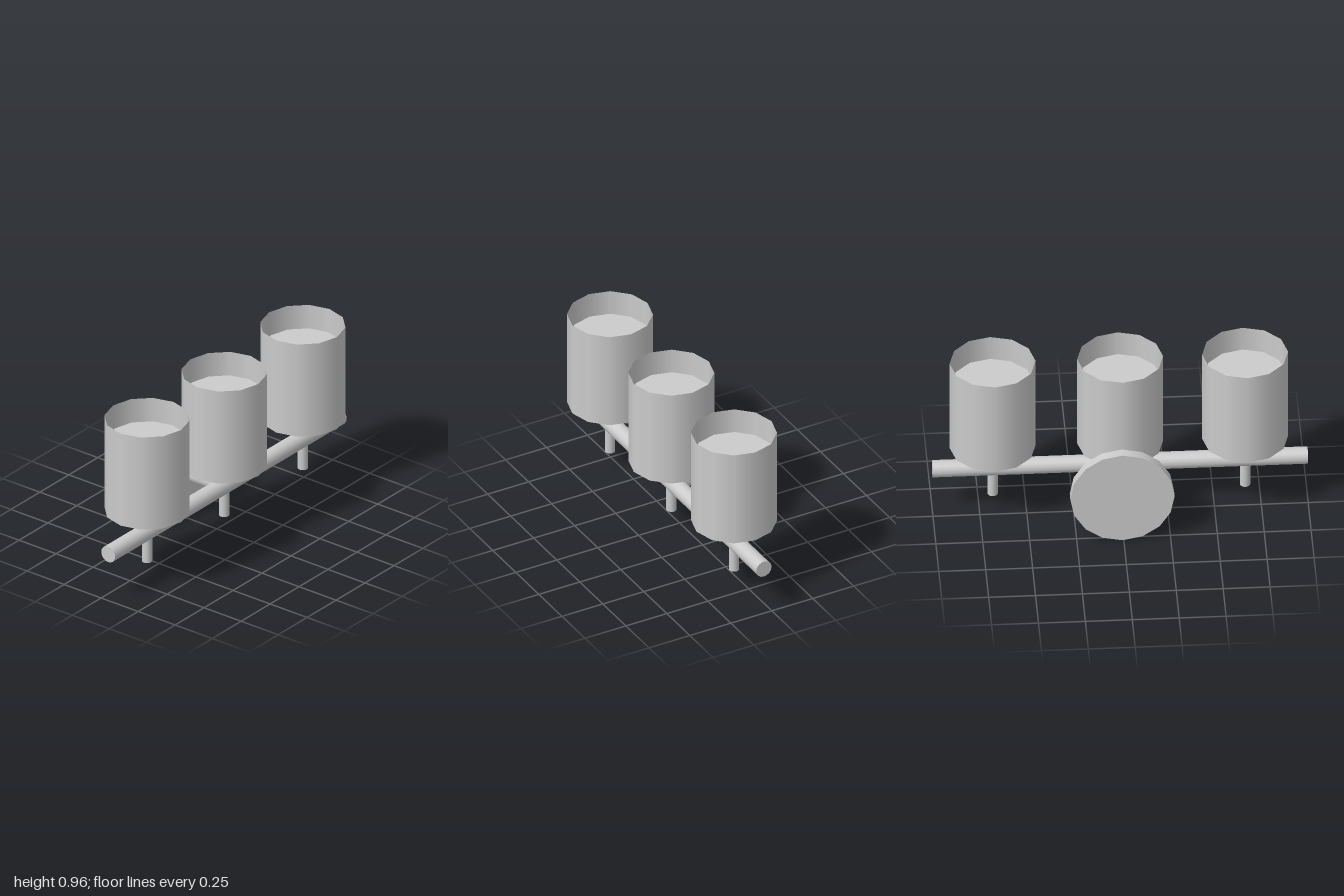
import * as THREE from 'three';

const grey = new THREE.MeshStandardMaterial({ color: 0xcccccc });
const greyThin = new THREE.MeshStandardMaterial({ color: 0xcccccc, side: THREE.DoubleSide });

const BAR_Y = 0.278, BAR_Z = 0.048;

// Upright cylinder between two heights
function upright(name, radius, y0, y1, sides, open = false) {
  const geo = new THREE.CylinderGeometry(radius, radius, y1 - y0, sides, 1, open);
  const mesh = new THREE.Mesh(geo, open ? greyThin : grey);
  mesh.name = name;
  mesh.position.y = (y0 + y1) / 2;
  return mesh;
}

// Cylinder along z between two depths
function alongZ(name, radius, z0, z1, sides) {
  const geo = new THREE.CylinderGeometry(radius, radius, z1 - z0, sides).rotateX(-Math.PI / 2);
  const mesh = new THREE.Mesh(geo, grey);
  mesh.name = name;
  mesh.position.set(0.007, BAR_Y, (z0 + z1) / 2);
  return mesh;
}

// Stem, open shade with a floor, and the diffuser recessed inside it
function createLamp(x) {
  const lamp = new THREE.Group();
  lamp.name = 'lamp';
  const floor = new THREE.Mesh(new THREE.CircleGeometry(0.229, 12).rotateX(Math.PI / 2), greyThin);
  floor.name = 'shadeFloor';
  floor.position.y = 0.408;
  lamp.add(
    upright('stem', 0.028, 0.102, 0.412, 16),
    upright('shade', 0.229, 0.408, 0.962, 12, true),
    floor,
    upright('diffuser', 0.219, 0.412, 0.826, 12)
  );
  lamp.position.set(x, 0, 0.05);
  return lamp;
}

export function createModel() {
  const model = new THREE.Group();
  model.name = 'wallLight';

  // Horizontal bar
  const bar = new THREE.Mesh(new THREE.CylinderGeometry(0.047, 0.047, 2, 16).rotateZ(Math.PI / 2), grey);
  bar.name = 'crossbar';
  bar.position.set(0, BAR_Y, BAR_Z);
  model.add(bar);

  // Wall mounting
  model.add(alongZ('wallPlate', 0.278, -0.279, -0.223, 16));
  model.add(alongZ('arm', 0.047, -0.23, BAR_Z, 16));

  for (const x of [-0.667, -0.001, 0.679]) model.add(createLamp(x));
  return model;
}
